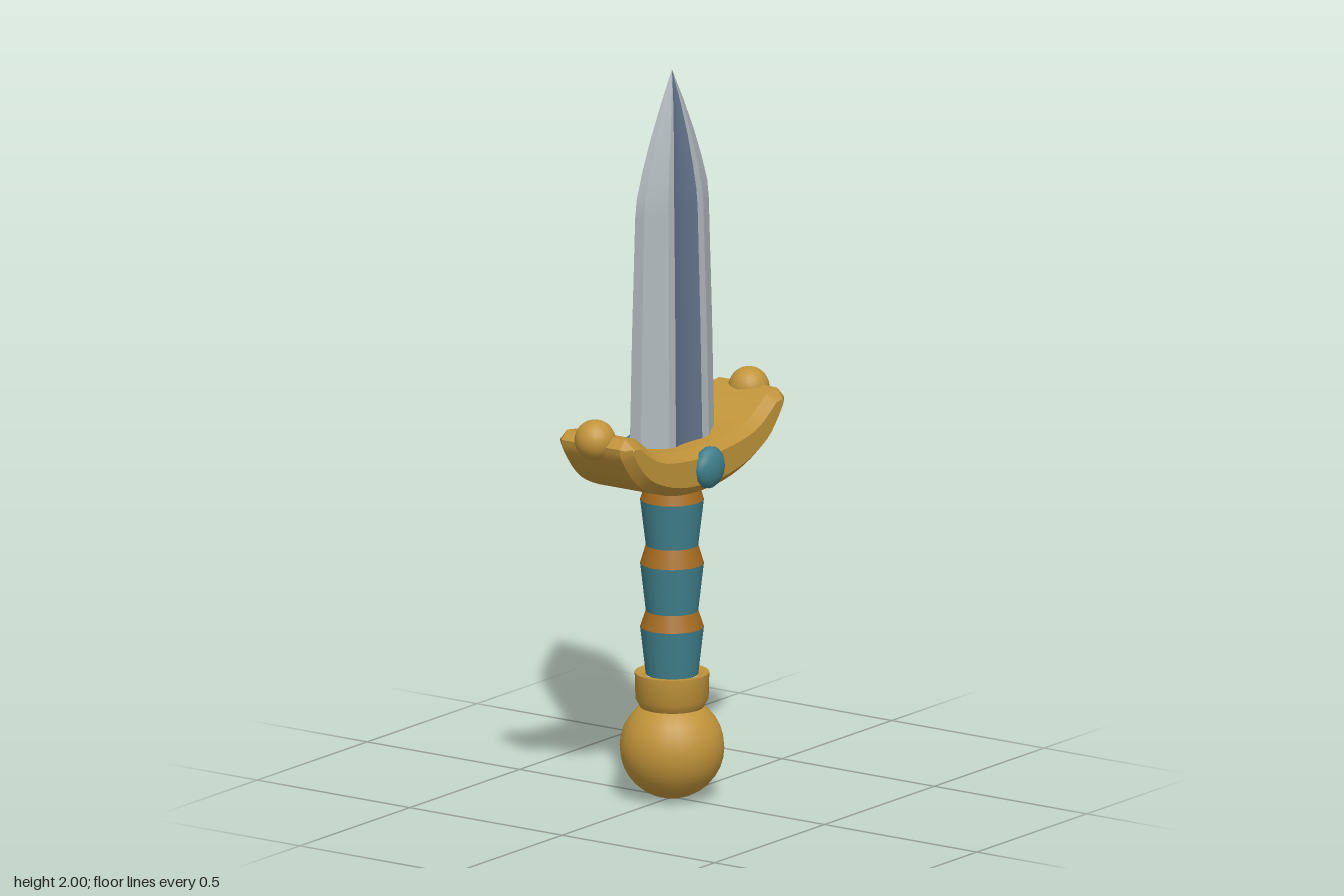
import * as THREE from 'three';
import { toCreasedNormals } from 'three/addons/utils/BufferGeometryUtils.js';

const mat = (name, color) => {
  const m = new THREE.MeshStandardMaterial({ color });
  m.name = name;
  return m;
};

export function createModel() {
  const gold = mat('gold', 0xc1943a);
  const bronze = mat('bronze', 0xa56c20);
  const teal = mat('teal', 0x40808c);
  const silver = mat('silver', 0xb2babe);
  const slate = mat('slate', 0x64748c);

  const model = new THREE.Group();
  model.name = 'dagger';
  const add = (parent, name, geometry, material, x = 0, y = 0, z = 0) => {
    const mesh = new THREE.Mesh(geometry, material);
    mesh.name = name;
    mesh.position.set(x, y, z);
    parent.add(mesh);
    return mesh;
  };

  // Blade rows: height, width scale, thickness scale
  const rows = [
    [0.92, 1.01, 1.02], [1.3, 0.95, 0.93], [1.62, 0.88, 0.82], [1.67, 0.845, 0.77],
    [1.74, 0.71, 0.66], [1.82, 0.52, 0.51], [1.91, 0.27, 0.29], [2, 0, 0],
  ];
  // Lofts one strip of the blade's cross-section along the rows
  const strip = (points) => {
    const pos = [], index = [], n = points.length;
    rows.forEach(([y, sx, sz], i) => {
      points.forEach(([x, z], j) => {
        pos.push(x * sx, y, z * sz);
        if (i && j) {
          const d = i * n + j, c = d - 1, b = d - n, a = b - 1;
          index.push(a, b, d, a, d, c);
        }
      });
    });
    const g = new THREE.BufferGeometry();
    g.setAttribute('position', new THREE.Float32BufferAttribute(pos, 3));
    g.setIndex(index);
    g.computeVertexNormals();
    return g;
  };
  for (const [side, angle] of [['front', 0], ['back', Math.PI]]) {
    const half = new THREE.Group();
    half.name = side + 'Blade';
    half.rotation.y = angle;
    model.add(half);
    add(half, 'fuller', strip([[-0.06, 0.056], [-0.03, 0.047], [0, 0.045], [0.03, 0.047], [0.06, 0.056]]), slate);
    add(half, 'leftRidge', strip([[0.06, 0.056], [0.09, 0.056]]), silver);
    add(half, 'rightRidge', strip([[-0.09, 0.056], [-0.06, 0.056]]), silver);
    add(half, 'leftBevel', strip([[0.09, 0.056], [0.167, 0.018]]), silver);
    add(half, 'rightBevel', strip([[-0.167, 0.018], [-0.09, 0.056]]), silver);
    add(half, 'cuttingEdge', strip([[0.167, 0.018], [0.167, -0.018]]), silver);
  }

  // Curved crossguard with chamfered faces
  const v = (x, y) => new THREE.Vector2(x, y);
  const guardShape = new THREE.Shape();
  guardShape.moveTo(-0.37, 1.045);
  guardShape.splineThru([v(-0.355, 1.005), v(-0.28, 0.925), v(-0.15, 0.873), v(0, 0.857),
    v(0.15, 0.873), v(0.28, 0.925), v(0.355, 1.005), v(0.37, 1.045)]);
  guardShape.lineTo(0.345, 1.068);
  guardShape.lineTo(0.3, 1.062);
  guardShape.splineThru([v(0.23, 1.015), v(0.15, 0.992), v(0, 0.98),
    v(-0.15, 0.992), v(-0.23, 1.015), v(-0.3, 1.062)]);
  guardShape.lineTo(-0.345, 1.068);
  guardShape.closePath();
  const guard = new THREE.ExtrudeGeometry(guardShape, {
    depth: 0.19, bevelThickness: 0.025, bevelSize: 0.025, bevelOffset: -0.025,
    bevelSegments: 1, curveSegments: 4,
  });
  guard.translate(0, 0, -0.095);
  add(model, 'crossguard', toCreasedNormals(guard, 0.5), gold);

  // Guard end balls
  for (const s of [-1, 1]) {
    add(model, s > 0 ? 'leftGuardBall' : 'rightGuardBall',
      new THREE.SphereGeometry(0.055, 20, 14), gold, s * 0.35, 1.055, 0);
  }

  // Gems on both faces of the guard
  for (const s of [-1, 1]) {
    const gem = add(model, s > 0 ? 'frontGem' : 'backGem',
      new THREE.SphereGeometry(0.058, 12, 8), teal, 0, 0.925, s * 0.122);
    gem.rotation.x = s * Math.PI / 2;
    gem.scale.y = 0.55;
  }

  // Grip: flared wraps separated by bronze bands
  const ring = (name, top, bottom, rTop, rBottom, material) =>
    add(model, name, new THREE.CylinderGeometry(rTop, rBottom, top - bottom, 20, 1, true),
      material, 0, (top + bottom) / 2, 0);
  const levels = [[0.87, 0.82, 0.695], [0.695, 0.645, 0.515], [0.515, 0.47, 0.34]];
  for (const [top, mid, bottom] of levels) {
    ring('gripBand', top, mid, 0.07, 0.085, bronze);
    ring('gripWrap', mid, bottom, 0.085, 0.07, teal);
  }

  // Collar and pommel
  const collar = new THREE.LatheGeometry(
    [v(0.07, 0.23), v(0.085, 0.25), v(0.098, 0.275), v(0.1, 0.345), v(0.085, 0.345), v(0.068, 0.335)], 24);
  add(model, 'collar', toCreasedNormals(collar, 0.6), gold);
  add(model, 'pommel', new THREE.SphereGeometry(0.14, 24, 16), gold, 0, 0.14, 0);

  return model;
}
